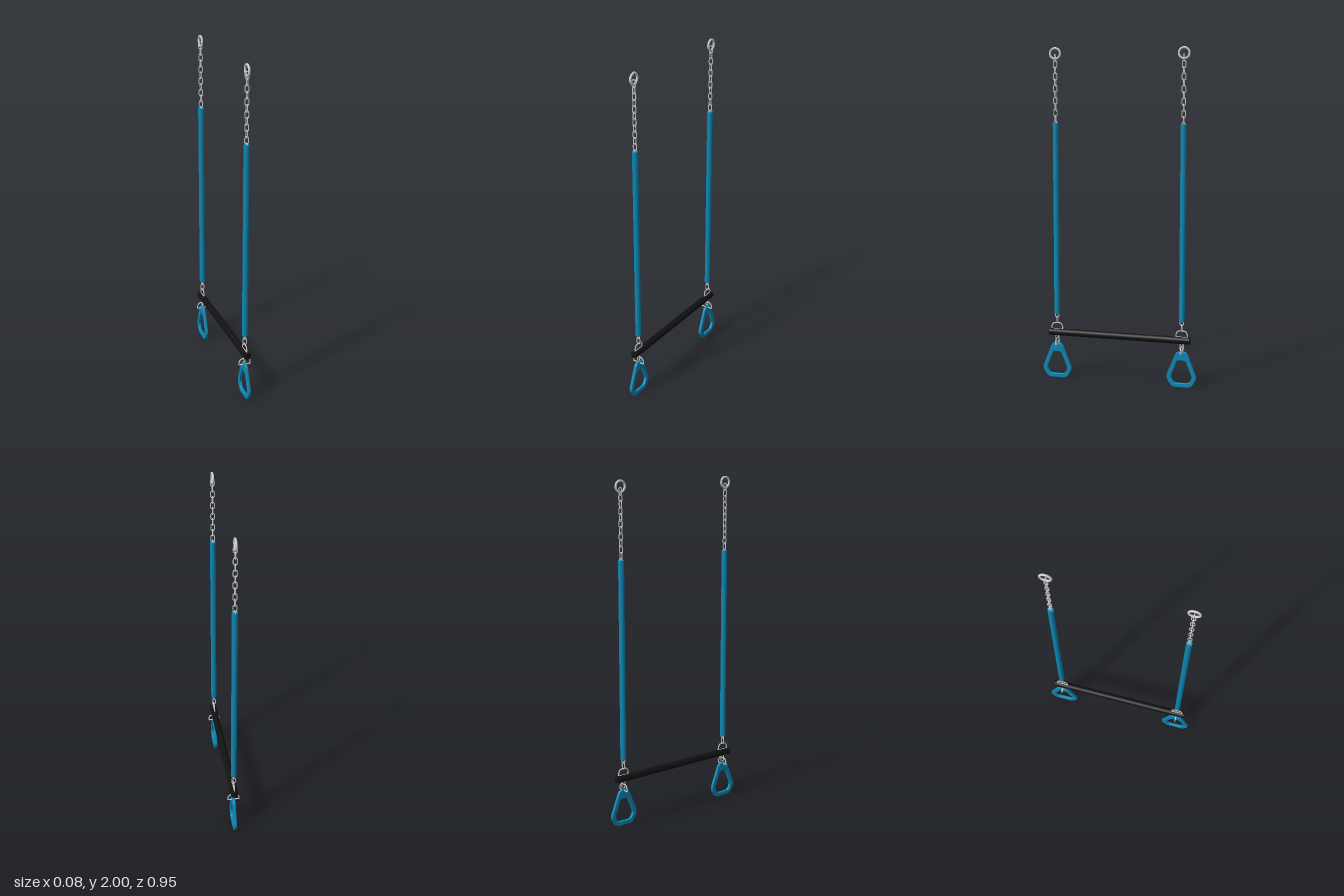
import * as THREE from 'three';

const mat = (color) => new THREE.MeshStandardMaterial({ color });
const V = (x, y) => new THREE.Vector3(x, y, 0);

// Handle outline: a trapezoid widening to low corners, with rounded corners
function roundedPath(path, pts, r) {
  const n = pts.length;
  pts.forEach((p, i) => {
    const c = new THREE.Vector2(...p);
    const a = new THREE.Vector2(...pts[(i + n - 1) % n]).sub(c).setLength(r).add(c);
    const b = new THREE.Vector2(...pts[(i + 1) % n]).sub(c).setLength(r).add(c);
    if (i === 0) path.moveTo(a.x, a.y);
    else path.lineTo(a.x, a.y);
    path.quadraticCurveTo(c.x, c.y, b.x, b.y);
  });
  path.closePath();
  return path;
}

// Stadium-shaped chain link in the XY plane
function linkGeometry(halfWidth, halfLength, wire) {
  const pts = [];
  for (let i = 0; i < 16; i++) {
    const a = ((i + 0.5) / 16) * Math.PI * 2;
    const shift = Math.sign(Math.sin(a)) * (halfLength - halfWidth);
    pts.push(V(Math.cos(a) * halfWidth, Math.sin(a) * halfWidth + shift));
  }
  return new THREE.TubeGeometry(new THREE.CatmullRomCurve3(pts, true), 32, wire, 8, true);
}

// D-shaped shackle in the XY plane: arch over a straight pin at y = 0
function shackleGeometry(halfWidth, height, wire) {
  const path = new THREE.CurvePath();
  path.add(new THREE.LineCurve3(V(-halfWidth, 0), V(halfWidth, 0)));
  path.add(new THREE.CubicBezierCurve3(V(halfWidth, 0), V(halfWidth, height * 0.65),
    V(halfWidth * 0.75, height), V(halfWidth * 0.35, height)));
  path.add(new THREE.LineCurve3(V(halfWidth * 0.35, height), V(-halfWidth * 0.35, height)));
  path.add(new THREE.CubicBezierCurve3(V(-halfWidth * 0.35, height), V(-halfWidth * 0.75, height),
    V(-halfWidth, height * 0.65), V(-halfWidth, 0)));
  return new THREE.TubeGeometry(path, 64, wire, 8, true);
}

export function createModel() {
  const model = new THREE.Group();
  const steel = mat(0xcccccc), blue = mat(0x0b86b2), black = mat(0x111111);
  const add = (parent, name, geometry, material, y, turned = false) => {
    const mesh = new THREE.Mesh(geometry, material);
    mesh.name = name;
    mesh.position.y = y;
    if (turned) mesh.rotation.y = Math.PI / 2;
    parent.add(mesh);
    return mesh;
  };

  const link = linkGeometry(0.0105, 0.0215, 0.003);
  const shackle = shackleGeometry(0.035, 0.038, 0.0036);
  const hangRing = new THREE.TorusGeometry(0.031, 0.0065, 12, 36);
  const sleeve = new THREE.CylinderGeometry(0.017, 0.017, 1.155, 24);

  // Hand grip plate with a large opening and a solid top
  const grip = roundedPath(new THREE.Shape(),
    [[-0.03, 0.215], [-0.091, 0.06], [-0.057, 0.004], [0.057, 0.004], [0.091, 0.06], [0.03, 0.215]], 0.02);
  grip.holes.push(roundedPath(new THREE.Path(),
    [[-0.027, 0.167], [0.027, 0.167], [0.068, 0.062], [0.045, 0.024], [-0.045, 0.024], [-0.068, 0.062]], 0.014));
  const gripGeometry = new THREE.ExtrudeGeometry(grip, {
    depth: 0.008, bevelEnabled: true, bevelThickness: 0.005, bevelSize: 0.004,
    bevelOffset: -0.001, bevelSegments: 4, curveSegments: 8,
  });
  gripGeometry.translate(0, 0, -0.004);

  for (const side of [1, -1]) {
    const rope = new THREE.Group();
    rope.name = side > 0 ? 'frontRope' : 'backRope';
    rope.position.z = side * 0.387;
    model.add(rope);

    add(rope, 'hangingRing', hangRing, steel, 1.9625, true);
    // Upper chain, links turning a quarter each time
    for (let i = 0; i < 12; i++) add(rope, 'upperChainLink', link, steel, 1.935 - i * 0.0355, i % 2 === 1);
    add(rope, 'sleeve', sleeve, blue, 0.9775);
    // Lower chain down to the bar
    add(rope, 'lowerChainLink', link, steel, 0.397, true);
    add(rope, 'lowerChainLink', link, steel, 0.362);
    add(rope, 'barShackle', shackle, steel, 0.305, true);
    // Hand grip hung below the bar
    add(rope, 'gripLink', link, steel, 0.246, true);
    add(rope, 'gripShackle', shackle, steel, 0.211);
    add(rope, 'handGrip', gripGeometry, blue, 0, true);
  }

  // Trapeze bar with softly rounded ends
  const profile = [[0, -0.438], [0.018, -0.438], [0.021, -0.434], [0.021, 0.434], [0.018, 0.438], [0, 0.438]];
  const bar = add(model, 'trapezeBar',
    new THREE.LatheGeometry(profile.map((p) => new THREE.Vector2(...p)), 28), black, 0.286);
  bar.rotation.x = Math.PI / 2;

  return model;
}
